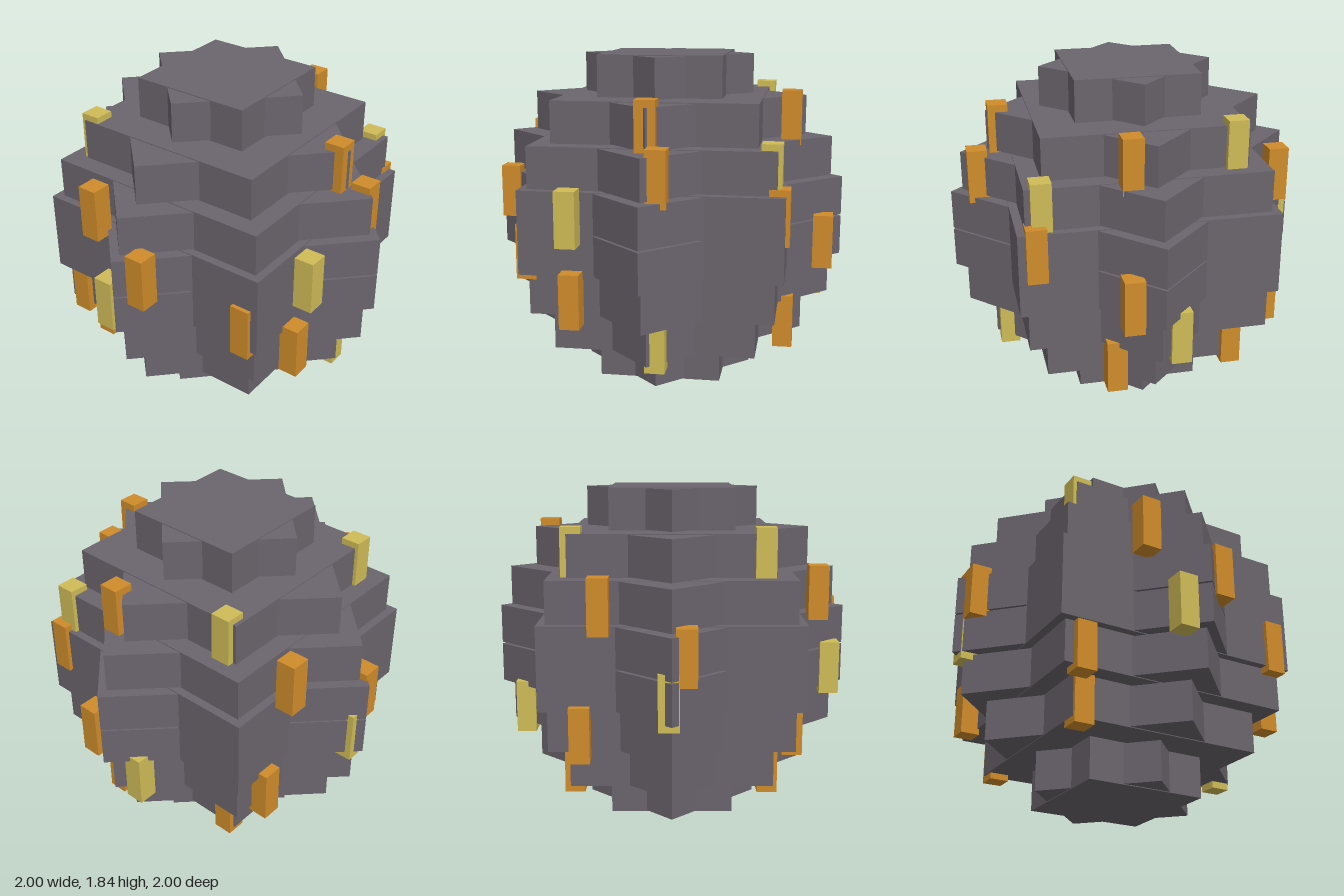
import * as THREE from 'three';

export function createModel() {
  const group = new THREE.Group();
  const make = (name, color) => {
    const m = new THREE.MeshStandardMaterial({ color });
    m.name = name;
    return m;
  };
  const stone = make('grey stone', 0x6b656d);
  const orange = make('orange', 0xd08c2b);
  const yellow = make('yellow', 0xd0bc57);

  const box = (name, parent, w, h, d, material) => {
    const mesh = new THREE.Mesh(new THREE.BoxGeometry(w, h, d), material);
    mesh.name = name;
    parent.add(mesh);
    return mesh;
  };

  // Eight stacked star tiers, each a square block crossed by one turned 45 degrees
  const layerY = (i) => 0.12 + 0.23 * i;
  const radii = [0.485, 0.785, 0.935, 1, 1, 0.935, 0.785, 0.485];
  radii.forEach((r, i) => {
    const tier = new THREE.Group();
    tier.name = `tier${i + 1}`;
    tier.position.y = layerY(i);
    const side = r * Math.SQRT2;
    box('squareBlock', tier, side, 0.23, side, stone);
    box('turnedBlock', tier, side, 0.221, side, stone).rotation.y = Math.PI / 4;
    group.add(tier);
  });

  // Upright lamps set into the six middle tiers: [x, z, material]
  const lamps = [
    [[0.715, -0.04, yellow], [-0.5, 0.52, orange], [-0.49, -0.53, orange], [0.2, -0.69, orange]],
    [[0.745, 0.41, orange], [-0.555, 0.645, orange], [-0.705, -0.485, orange], [-0.115, -0.845, yellow]],
    [[0.61, 0.675, orange], [-0.115, 0.905, yellow], [-0.91, -0.015, yellow], [0.15, -0.9, orange]],
    [[0.115, 0.905, orange], [0.815, 0.405, yellow], [-0.91, 0.075, orange], [0.61, -0.675, orange]],
    [[0.85, -0.07, orange], [-0.27, 0.81, orange], [-0.77, -0.375, orange], [0.575, -0.63, yellow]],
    [[0.72, 0.005, orange], [-0.52, 0.495, yellow], [-0.48, -0.535, yellow], [0.12, -0.71, orange]],
  ];
  lamps.forEach((ring, i) => {
    for (const [x, z, material] of ring) {
      box('lamp', group, 0.11, 0.3, 0.11, material).position.set(x, layerY(i + 1), z);
    }
  });
  return group;
}
